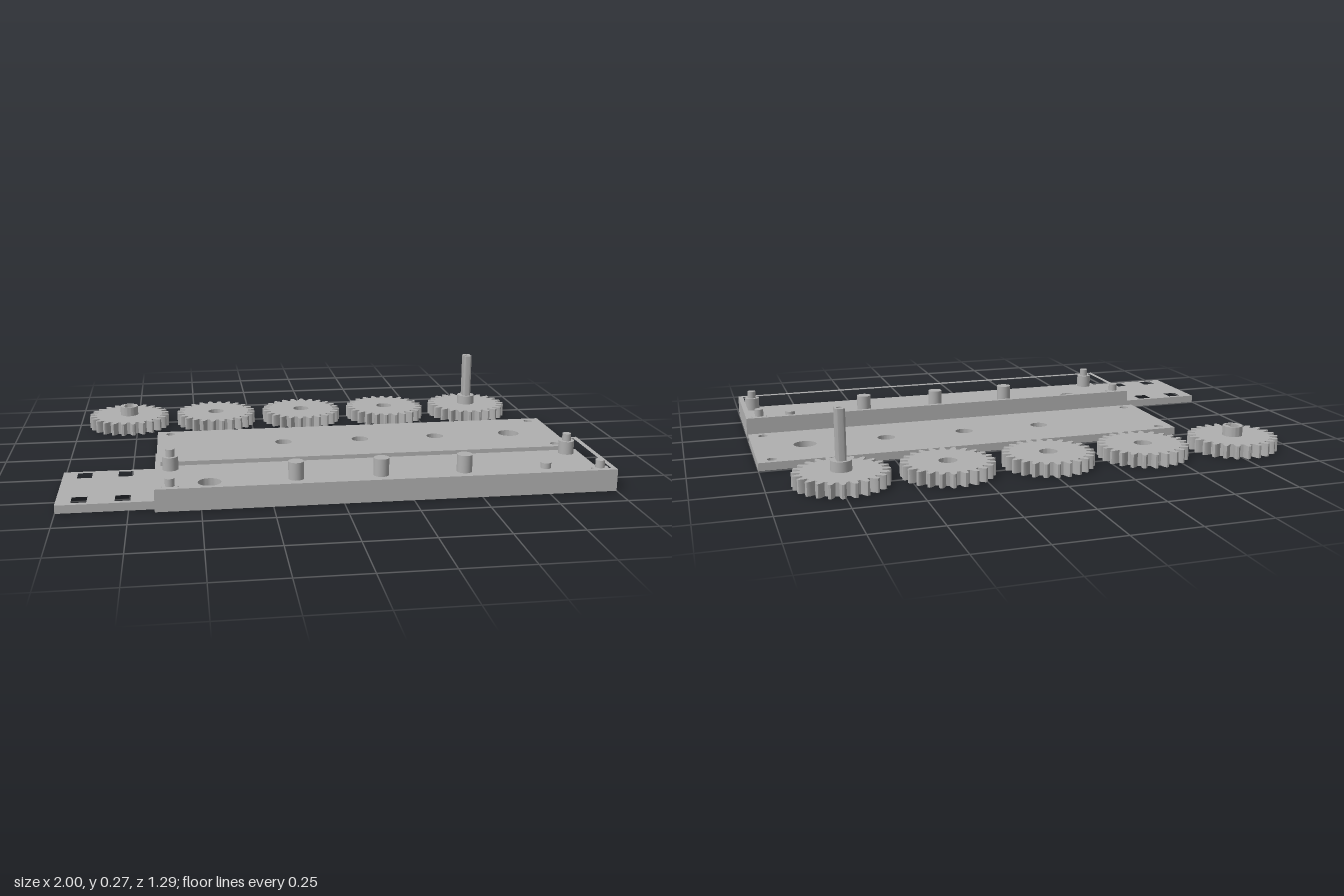
import * as THREE from 'three';
import { toCreasedNormals } from 'three/addons/utils/BufferGeometryUtils.js';

const grey = new THREE.MeshStandardMaterial({ color: 0xb0b0b0 });
grey.name = 'grey plastic';

// Shapes are drawn in plan, with shape y = -z.
function rect(x0, x1, z0, z1, Type = THREE.Shape) {
  const s = new Type();
  s.moveTo(x0, -z0);
  s.lineTo(x1, -z0);
  s.lineTo(x1, -z1);
  s.lineTo(x0, -z1);
  s.closePath();
  return s;
}

function circle(x, z, r, Type = THREE.Path) {
  return new Type().absarc(x, -z, r, 0, Math.PI * 2, false);
}

// Circle of radius r with two flats at x = +-w
function doubleFlat(r, w, Type) {
  const a = Math.acos(w / r);
  const s = new Type();
  s.absarc(0, 0, r, a, Math.PI - a, false);
  s.absarc(0, 0, r, Math.PI + a, Math.PI * 2 - a, false);
  s.closePath();
  return s;
}

// Vertical extrusion from y0 to y1
function slab(name, shape, y0, y1, holes = []) {
  shape.holes.push(...holes);
  const g = new THREE.ExtrudeGeometry(shape, { depth: y1 - y0, bevelEnabled: false, curveSegments: 20 });
  g.rotateX(-Math.PI / 2).translate(0, y0, 0);
  const mesh = new THREE.Mesh(toCreasedNormals(g, 0.45), grey);
  mesh.name = name;
  return mesh;
}

function peg(name, x, z, r, y0, y1) {
  const mesh = new THREE.Mesh(new THREE.CylinderGeometry(r, r, y1 - y0, 32), grey);
  mesh.position.set(x, (y0 + y1) / 2, z);
  mesh.name = name;
  return mesh;
}

// Spur gear outline with 24 tapered teeth
function gearShape() {
  const teeth = 24;
  const flank = [[0.142, 5], [0.147, 4.6], [0.159, 3.75], [0.168, 2.5], [0.172, 1.4]];
  const tooth = [...flank.map(([r, a]) => [r, -a]), ...flank.slice().reverse()];
  const pts = [];
  for (let i = 0; i < teeth; i++) {
    for (const [r, a] of tooth) {
      const t = THREE.MathUtils.degToRad((i + 0.5) * 360 / teeth + a);
      pts.push(new THREE.Vector2(r * Math.cos(t), r * Math.sin(t)));
    }
  }
  return new THREE.Shape(pts);
}

export function createModel() {
  const model = new THREE.Group();
  const postX = [-0.148, 0.17, 0.487];
  const cornerX = [-0.606, 0.946];

  // Open housing
  const housing = new THREE.Group();
  housing.name = 'housing';
  const boxZ = 0.436;
  housing.add(slab('housingFloor', rect(-0.66, 1, 0.227, 0.645), 0, 0.03, [circle(-0.465, boxZ, 0.043)]));
  housing.add(slab('housingWall', rect(-0.66, 1, 0.227, 0.645), 0.03, 0.082,
    [rect(-0.641, 0.981, 0.246, 0.626, THREE.Path)]));
  for (const x of postX) housing.add(peg('gearPost', x, boxZ, 0.029, 0.03, 0.097));
  housing.add(peg('pivotStub', 0.804, boxZ, 0.02, 0.03, 0.052));
  for (const x of cornerX) {
    for (const z of [boxZ - 0.171, boxZ + 0.171]) {
      housing.add(peg('cornerPost', x, z, 0.03, 0.03, 0.0815));
      housing.add(peg('cornerPin', x, z, 0.017, 0.08, 0.11));
    }
  }

  // Mounting tongue with four strap slots
  const slots = [];
  for (const x of [-0.92, -0.77]) {
    for (const z of [0.302, 0.567]) slots.push(rect(x - 0.027, x + 0.027, z - 0.029, z + 0.029, THREE.Path));
  }
  housing.add(slab('mountingTongue', rect(-1, -0.66, 0.255, 0.615), 0, 0.03, slots));
  model.add(housing);

  // Flat lid
  const lidZ = -0.032;
  const lidHoles = postX.map((x) => circle(x, lidZ, 0.034));
  lidHoles.push(circle(0.804, lidZ, 0.043));
  for (const x of cornerX) {
    for (const z of [lidZ - 0.171, lidZ + 0.171]) lidHoles.push(circle(x, z, 0.018));
  }
  model.add(slab('lid', rect(-0.66, 1, -0.241, 0.177), 0, 0.03, lidHoles));

  // Row of five gears
  const gearX = [-0.786, -0.405, -0.024, 0.357, 0.738];
  gearX.forEach((x, i) => {
    const gear = new THREE.Group();
    gear.name = ['socketGear', 'idlerGear', 'idlerGear', 'idlerGear', 'shaftGear'][i];
    gear.position.set(x, 0, -0.478);
    if (i === 0) {
      // Slotted hub
      const slot = () => [doubleFlat(0.029, 0.019, THREE.Path)];
      gear.add(slab('gearWheel', gearShape(), 0, 0.05, slot()));
      gear.add(slab('gearHub', circle(0, 0, 0.038, THREE.Shape), 0.05, 0.088, slot()));
    } else if (i === 4) {
      // Blind socket underneath, hub and flattened shaft on top
      gear.add(slab('gearWheel', gearShape(), 0, 0.05, [circle(0, 0, 0.021)]));
      gear.add(peg('gearHub', 0, 0, 0.038, 0.04, 0.088));
      gear.add(slab('driveShaft', doubleFlat(0.026, 0.017, THREE.Shape), 0.088, 0.2));
      gear.add(slab('driveShaftTip', doubleFlat(0.026, 0.017, THREE.Shape), 0.2, 0.272, [circle(0, 0, 0.01)]));
    } else {
      gear.add(slab('gearWheel', gearShape(), 0, 0.05, [circle(0, 0, 0.034)]));
    }
    model.add(gear);
  });

  return model;
}
